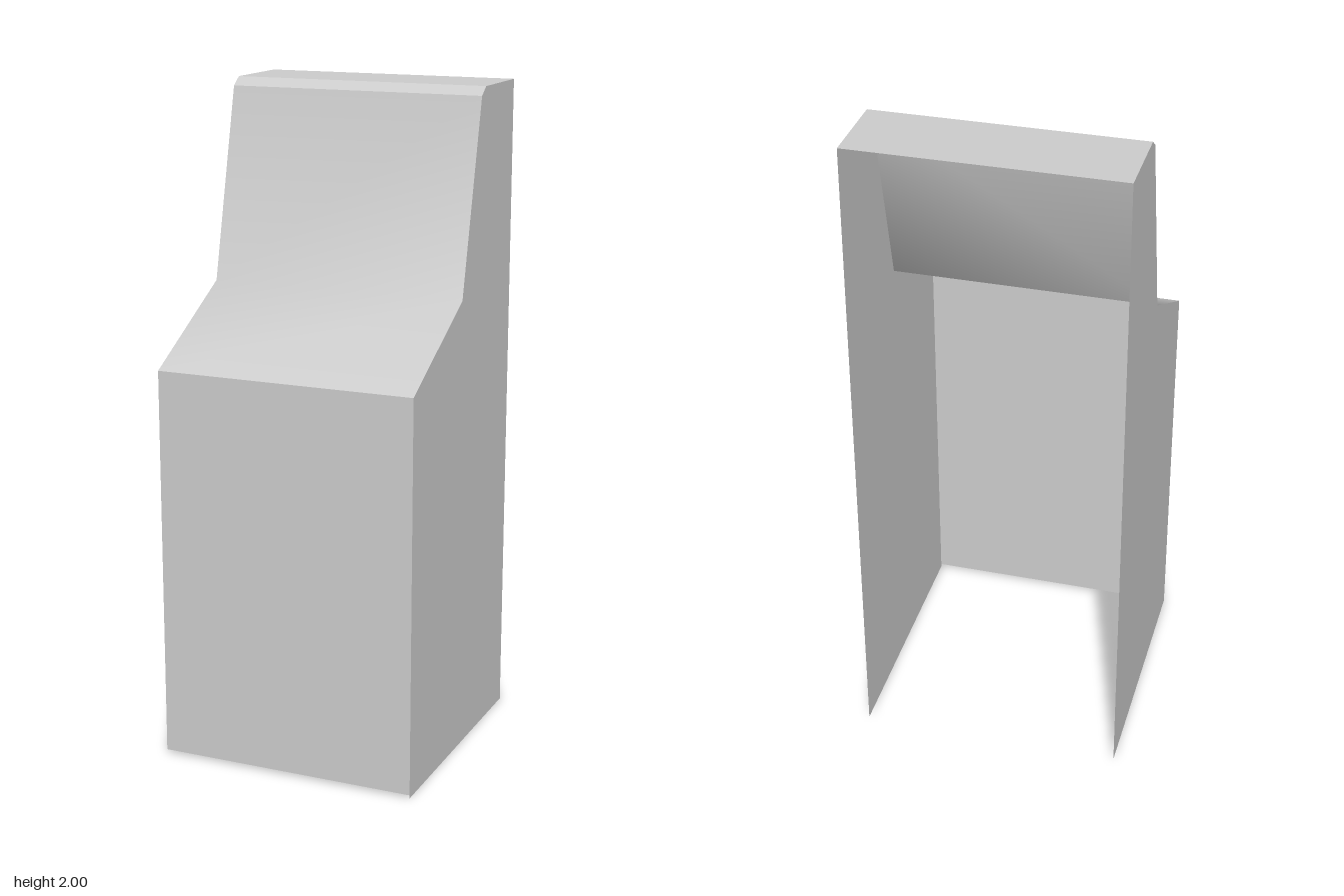
import * as THREE from 'three';

// Side profile as [z, y], from the front foot up and over to the back
const profile = [
  [0.4, 0.01], [0.4, 1.2], [0.02, 1.4], [-0.117, 1.975], [-0.151, 2], [-0.4, 2],
];
const HALF = 0.398; // half width

// Sheet swept across the width along profile points; normals blend inside one sheet
function sheet(points) {
  const pos = [], index = [];
  points.forEach(([z, y], i) => {
    pos.push(-HALF, y, z, HALF, y, z);
    if (i > 0) {
      const a = 2 * (i - 1);
      index.push(a, a + 1, a + 3, a, a + 3, a + 2);
    }
  });
  const geo = new THREE.BufferGeometry();
  geo.setAttribute('position', new THREE.Float32BufferAttribute(pos, 3));
  geo.setIndex(index);
  geo.computeVertexNormals();
  return geo;
}

// Flat side wall cut to the profile, standing at the given x
function sideWall(x, foot) {
  const outline = [[0.4, foot], ...profile.slice(1), [-0.4, foot]];
  const shape = new THREE.Shape(outline.map(([z, y]) => new THREE.Vector2(-z, y)));
  return new THREE.ShapeGeometry(shape).rotateY(Math.PI / 2).translate(x, 0, 0);
}

export function createModel() {
  const model = new THREE.Group();
  model.name = 'cabinet';
  const material = new THREE.MeshStandardMaterial({ color: 0xcccccc, side: THREE.DoubleSide });
  const add = (name, geo) => {
    const mesh = new THREE.Mesh(geo, material);
    mesh.name = name;
    model.add(mesh);
  };

  // Open shell: no back and no floor
  add('frontPanel', sheet(profile.slice(0, 2)));
  add('controlAndScreenPanel', sheet(profile.slice(1, 4))); // softly shaded across the bend
  add('topBevel', sheet(profile.slice(3, 5)));
  add('topPanel', sheet(profile.slice(4, 6)));
  add('leftSide', sideWall(HALF, 0));
  // Mirrored so its outside faces -x
  const right = sideWall(-HALF, 0.01);
  const idx = right.index.array;
  for (let i = 0; i < idx.length; i += 3) [idx[i], idx[i + 1]] = [idx[i + 1], idx[i]];
  right.computeVertexNormals();
  add('rightSide', right);

  // The cabinet stands very slightly turned
  model.rotation.y = 0.008;
  return model;
}
